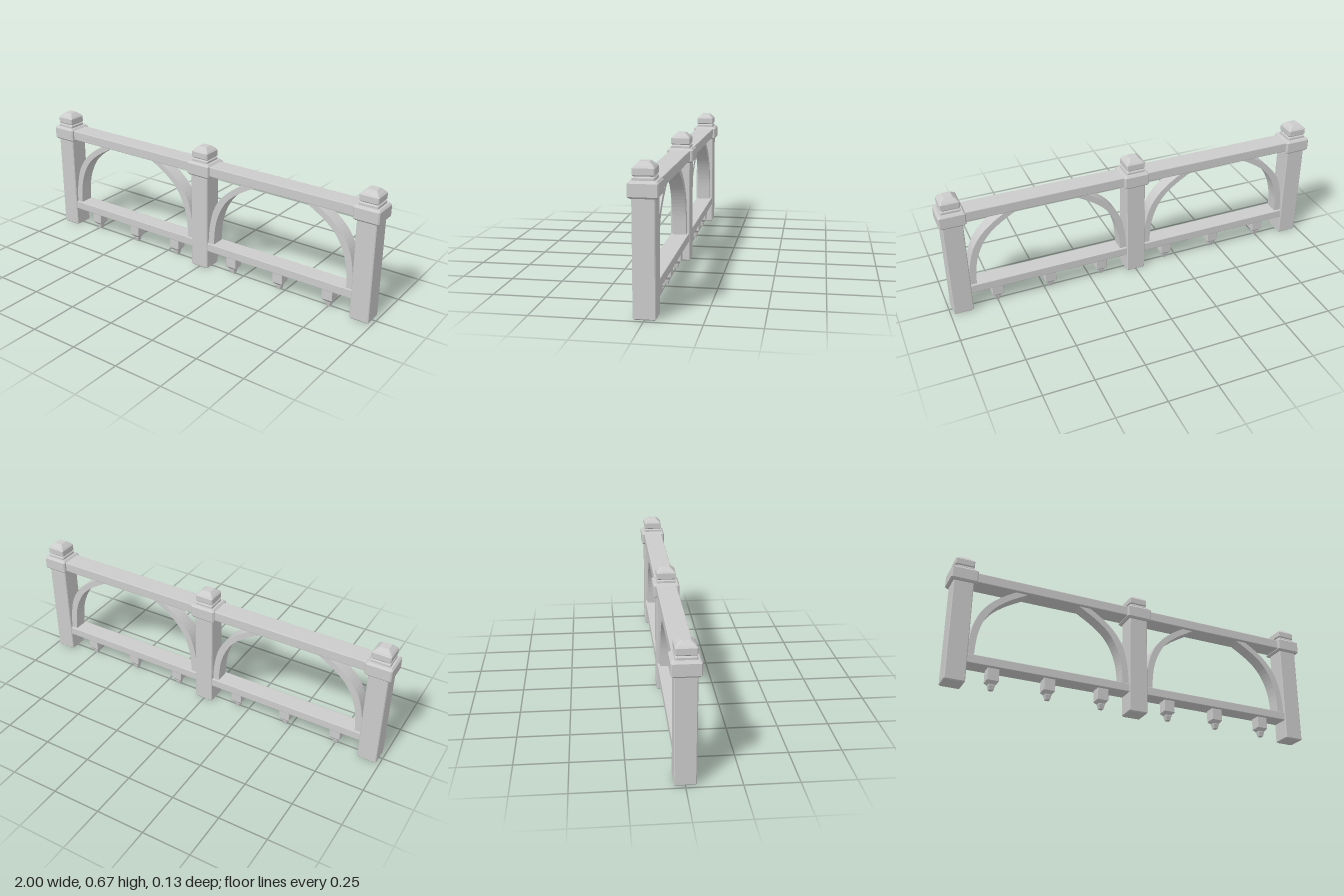
import * as THREE from 'three';
import { RoundedBoxGeometry } from 'three/addons/geometries/RoundedBoxGeometry.js';

const material = new THREE.MeshStandardMaterial({ color: 0xcccccc, flatShading: true });

function add(parent, name, geometry, x = 0, y = 0, z = 0) {
  const mesh = new THREE.Mesh(geometry, material);
  mesh.name = name;
  mesh.position.set(x, y, z);
  parent.add(mesh);
  return mesh;
}

// Stacks squares with chamfered corners; each level is [half width, y], bottom to top
function squareTurning(levels, chamfer) {
  const pos = [], index = [];
  for (const [h, y] of levels) {
    const k = h - Math.min(chamfer, h * 0.3);
    for (const [x, z] of [[h, k], [k, h], [-k, h], [-h, k], [-h, -k], [-k, -h], [k, -h], [h, -k]]) pos.push(x, y, z);
  }
  for (let i = 0; i < levels.length - 1; i++) {
    for (let j = 0; j < 8; j++) {
      const a = i * 8 + j, b = i * 8 + (j + 1) % 8;
      index.push(a, a + 8, b, b, a + 8, b + 8);
    }
  }
  const top = (levels.length - 1) * 8;
  for (let j = 1; j < 7; j++) {
    index.push(0, j, j + 1);
    index.push(top, top + j + 1, top + j);
  }
  const g = new THREE.BufferGeometry();
  g.setAttribute('position', new THREE.Float32BufferAttribute(pos, 3));
  g.setIndex(index);
  const flat = g.toNonIndexed();
  flat.computeVertexNormals();
  return flat;
}

// Curved brace outline in one half bay, x measured from the bay centre
function braceGeometry(side) {
  const outer = [[-0.418, 0.14], [-0.409, 0.25], [-0.383, 0.35], [-0.335, 0.425], [-0.27, 0.483], [-0.195, 0.53], [-0.165, 0.545]];
  const inner = [[-0.12, 0.545], [-0.135, 0.53], [-0.235, 0.47], [-0.305, 0.41], [-0.35, 0.335], [-0.375, 0.25], [-0.384, 0.14]];
  const smooth = (pts) => new THREE.SplineCurve(pts.map(([x, y]) => new THREE.Vector2(side * x, y))).getPoints(24);
  const shape = new THREE.Shape([...smooth(outer), ...smooth(inner)]);
  const depth = 0.07;
  return new THREE.ExtrudeGeometry(shape, { depth, bevelEnabled: false }).translate(0, 0, -depth / 2);
}

export function createModel() {
  const model = new THREE.Group();
  model.name = 'fence';

  const shaft = squareTurning([[0.046, 0], [0.05, 0.005], [0.05, 0.53]], 0.004);
  const collar = squareTurning([[0.059, 0.517], [0.066, 0.525], [0.066, 0.58], [0.057, 0.59]], 0.006);
  const neck = squareTurning([[0.048, 0.588], [0.048, 0.6], [0.042, 0.607], [0.042, 0.612]], 0.004);
  const finial = squareTurning([[0.044, 0.607], [0.048, 0.612], [0.048, 0.64], [0.041, 0.649], [0.022, 0.666]], 0.005);
  const pendant = squareTurning([[0.011, 0], [0.016, 0.022], [0.016, 0.027], [0.029, 0.042], [0.029, 0.11]], 0.002);

  // Three posts with stepped caps
  for (const x of [-0.933, 0, 0.933]) {
    const post = new THREE.Group();
    post.name = 'post';
    post.position.x = x;
    add(post, 'postShaft', shaft);
    add(post, 'postCollar', collar);
    add(post, 'postNeck', neck);
    add(post, 'postFinial', finial);
    model.add(post);
  }

  // Two bays of rails, arched braces and hanging pendants
  for (const x of [-0.467, 0.467]) {
    const bay = new THREE.Group();
    bay.name = 'bay';
    bay.position.x = x;
    add(bay, 'topRail', new RoundedBoxGeometry(0.87, 0.052, 0.102, 1, 0.004), 0, 0.554);
    add(bay, 'bottomRail', new RoundedBoxGeometry(0.84, 0.045, 0.092, 1, 0.003), 0, 0.125);
    for (const side of [1, -1]) add(bay, 'brace', braceGeometry(side));
    for (const offset of [-0.281, 0, 0.281]) add(bay, 'pendant', pendant, offset);
    model.add(bay);
  }
  return model;
}
